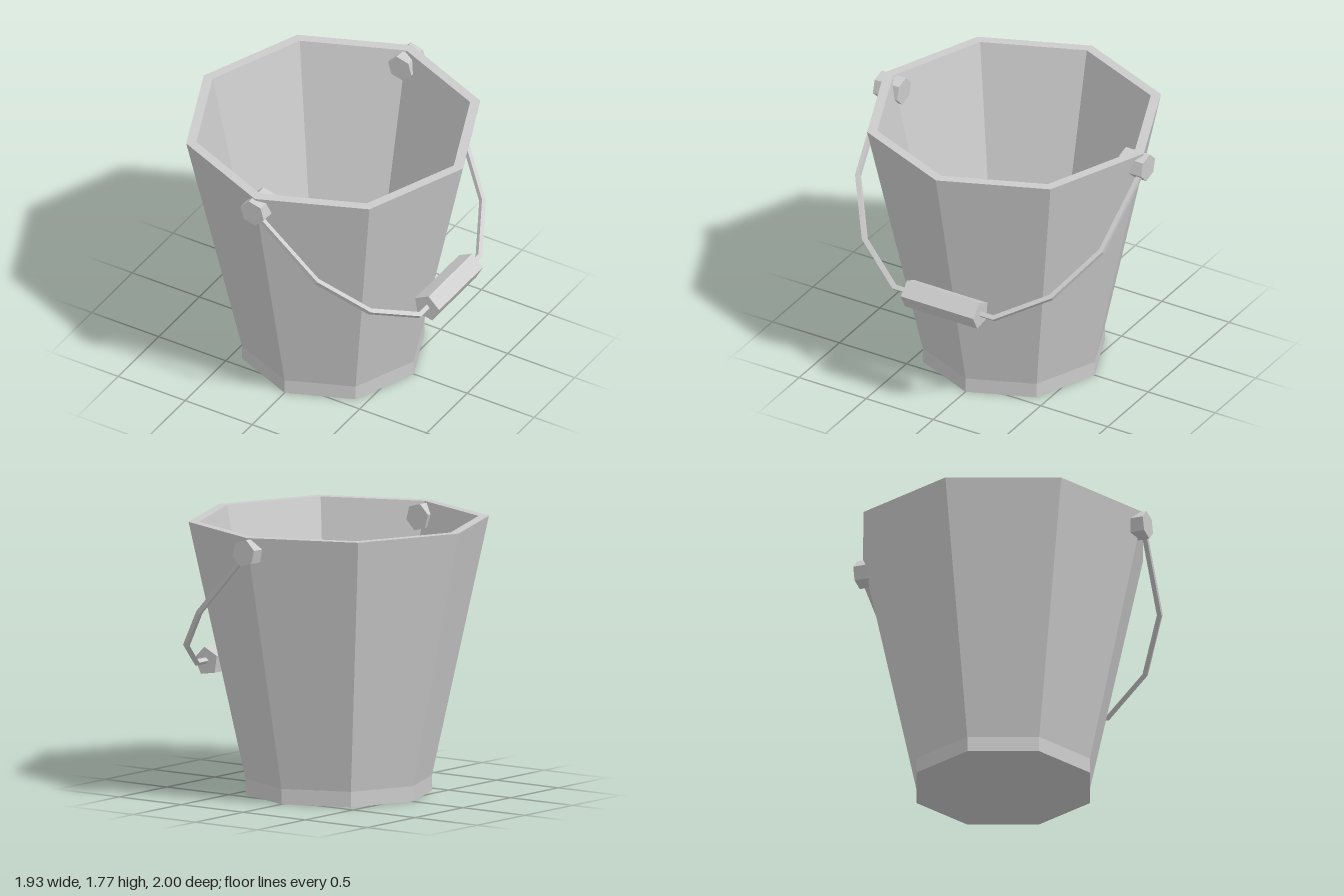
import * as THREE from 'three';

const grey = new THREE.MeshStandardMaterial({ color: 0xcccccc, flatShading: true });

function addMesh(parent, name, geometry) {
  const mesh = new THREE.Mesh(geometry, grey);
  mesh.name = name;
  parent.add(mesh);
  return mesh;
}

// Prism lying along z; one corner sits at the given turn (degrees) from straight down
function prismZ(radius, length, sides, turn) {
  const start = THREE.MathUtils.degToRad(turn);
  return new THREE.CylinderGeometry(radius, radius, length, sides, 1, false, start).rotateX(Math.PI / 2);
}

// Mitred outline of constant width around an open polyline
function bandShape(points, width) {
  const near = [], far = [];
  points.forEach((p, i) => {
    const a = p.clone().sub(points[Math.max(i - 1, 0)]).normalize();
    const b = points[Math.min(i + 1, points.length - 1)].clone().sub(p).normalize();
    const dir = a.clone().add(b).normalize();
    const normal = new THREE.Vector2(-dir.y, dir.x);
    const half = width / 2 / dir.dot(a.lengthSq() > 0 ? a : b);
    near.push(p.clone().addScaledVector(normal, half));
    far.unshift(p.clone().addScaledVector(normal, -half));
  });
  return new THREE.Shape([...near, ...far]);
}

export function createModel() {
  const bucket = new THREE.Group();
  bucket.name = 'bucket';

  // Eight-sided bucket wall with foot band, rim, inside and floor
  const profile = [
    [0, 0], [0.6, 0], [0.6, 0.1], [0.967, 1.77], [0.9, 1.77], [0.538, 0.12], [0, 0.12],
  ].map(([r, y]) => new THREE.Vector2(r, y));
  addMesh(bucket, 'bucketBody', new THREE.LatheGeometry(profile, 8));

  // Hexagonal pegs through the wall, front and back
  for (const side of [1, -1]) {
    const peg = addMesh(bucket, side > 0 ? 'frontPeg' : 'backPeg', prismZ(0.09, 0.18, 6, 15));
    peg.position.set(0, 1.675, side * 0.91);
  }

  // Bail: bent bar in a plane that hangs down to the model's left at 45 degrees
  const handle = new THREE.Group();
  handle.name = 'handle';
  bucket.add(handle);
  const half = [[0.968, 0], [0.907, 0.6], [0.695, 0.98], [0.37, 1.22]];
  const path = [...half, ...half.map(([z, d]) => [-z, d]).reverse()]
    .map(([z, d]) => new THREE.Vector2(z, d));
  const thick = 0.03;
  const bar = new THREE.ExtrudeGeometry(bandShape(path, thick), { depth: thick, bevelEnabled: false });
  bar.translate(0, 0, -thick / 2);
  const s = Math.SQRT1_2;
  bar.applyMatrix4(new THREE.Matrix4().makeBasis(
    new THREE.Vector3(0, 0, 1), new THREE.Vector3(s, -s, 0), new THREE.Vector3(s, s, 0)));
  addMesh(handle, 'handleBar', bar).position.set(0, 1.665, 0);

  // Five-sided grip around the middle of the bar
  addMesh(handle, 'grip', prismZ(0.095, 0.54, 5, 27)).position.set(0.86, 0.797, 0);

  return bucket;
}
